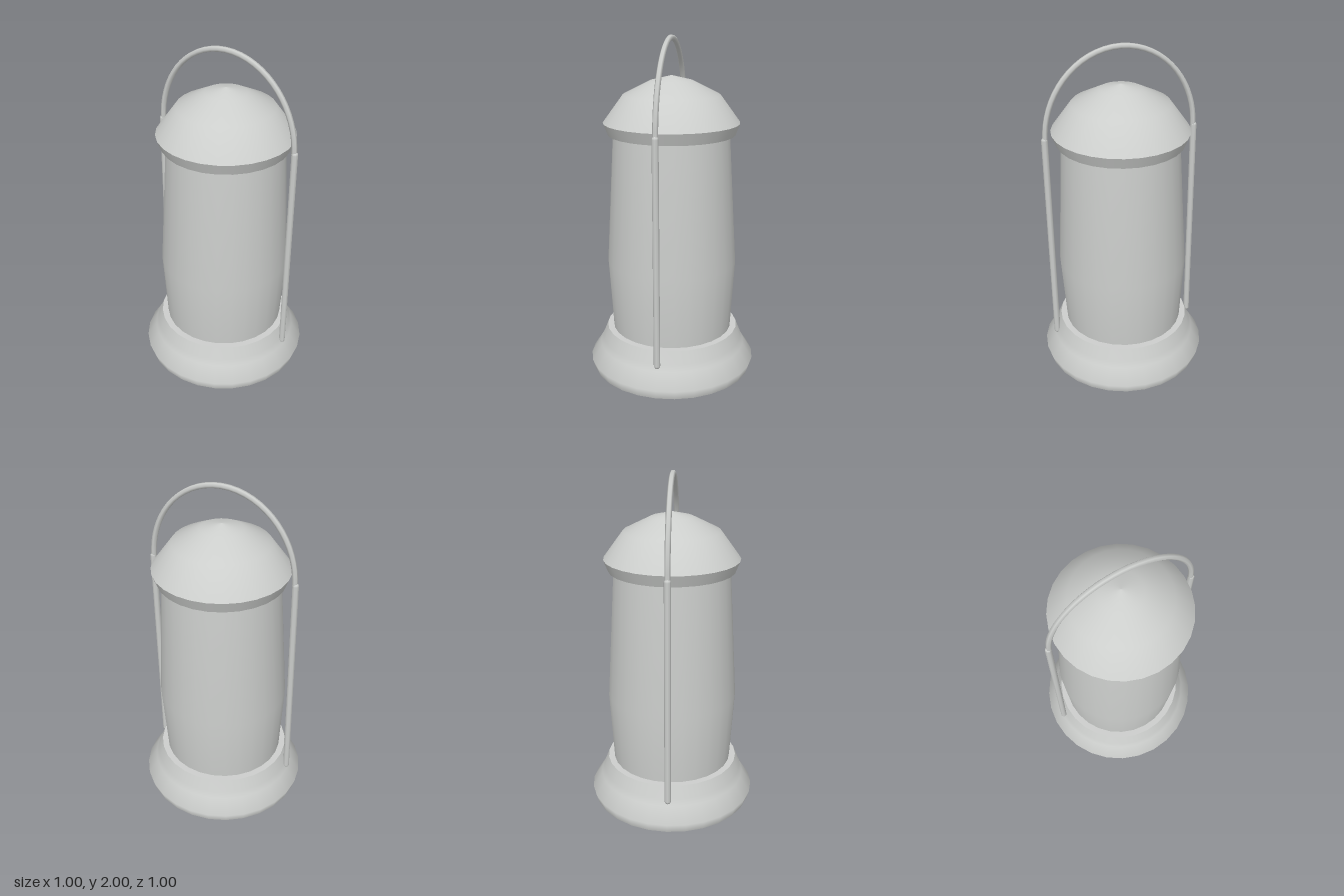
import * as THREE from 'three';

const SIDES = 28;

export function createModel() {
  const grey = new THREE.MeshStandardMaterial({ color: 0xcccecc });
  grey.name = 'pale grey';
  const model = new THREE.Group();
  model.name = 'lantern';

  const add = (name, geometry, parent) => {
    const mesh = new THREE.Mesh(geometry, grey);
    mesh.name = name;
    parent.add(mesh);
    return mesh;
  };

  // The lantern leans very slightly to its left as it rises
  const lean = (geometry) => {
    const p = geometry.attributes.position;
    for (let i = 0; i < p.count; i++) {
      const t = THREE.MathUtils.clamp((p.getY(i) - 0.26) / 1.2, 0, 1);
      p.setX(i, p.getX(i) + 0.013 * t);
    }
    return geometry;
  };

  // Each profile is one smooth band [radius, height]; bands meet at sharp edges
  const turned = (name, bands) => {
    const group = new THREE.Group();
    group.name = name;
    for (const [bandName, profile] of Object.entries(bands)) {
      const points = profile.map(([r, y]) => new THREE.Vector2(r, y));
      add(bandName, lean(new THREE.LatheGeometry(points, SIDES)), group);
    }
    model.add(group);
  };

  turned('base', {
    baseBottom: [[0, 0], [0.485, 0]],
    baseSide: [[0.485, 0], [0.502, 0.055], [0.443, 0.147], [0.427, 0.185], [0.398, 0.257]],
    baseTop: [[0.398, 0.257], [0.3, 0.257]],
  });

  turned('body', {
    bodyWall: [[0.36, 0.25], [0.385, 0.68], [0.338, 1.45]],
  });

  turned('cap', {
    capUnderside: [[0.28, 1.445], [0.368, 1.445]],
    capRim: [[0.368, 1.445], [0.394, 1.512]],
    capDome: [[0.394, 1.512], [0.278, 1.67], [0.12, 1.749], [0, 1.778]],
  });

  // Handle: two straight posts with rounded ends, joined by an arched bail
  const handle = new THREE.Group();
  handle.name = 'handle';
  model.add(handle);

  const post = (name, bottomX, topX) => {
    const bottom = new THREE.Vector3(bottomX, 0.18, 0.003);
    const top = new THREE.Vector3(topX, 1.49, 0.003);
    const axis = top.clone().sub(bottom);
    const mesh = add(name, new THREE.CapsuleGeometry(0.019, axis.length(), 3, 8), handle);
    mesh.position.copy(bottom).add(top).multiplyScalar(0.5);
    mesh.quaternion.setFromUnitVectors(new THREE.Vector3(0, 1, 0), axis.normalize());
  };
  post('rightPost', -0.437, -0.421);
  post('leftPost', 0.434, 0.446);

  const arc = [];
  for (let i = 0; i <= 24; i++) {
    const a = Math.PI * (1 - i / 24);
    arc.push(new THREE.Vector3(0.013 + 0.43 * Math.cos(a), 1.49 + 0.494 * Math.sin(a), 0.003));
  }
  add('bail', new THREE.TubeGeometry(new THREE.CatmullRomCurve3(arc), 32, 0.016, 6), handle);

  return model;
}
